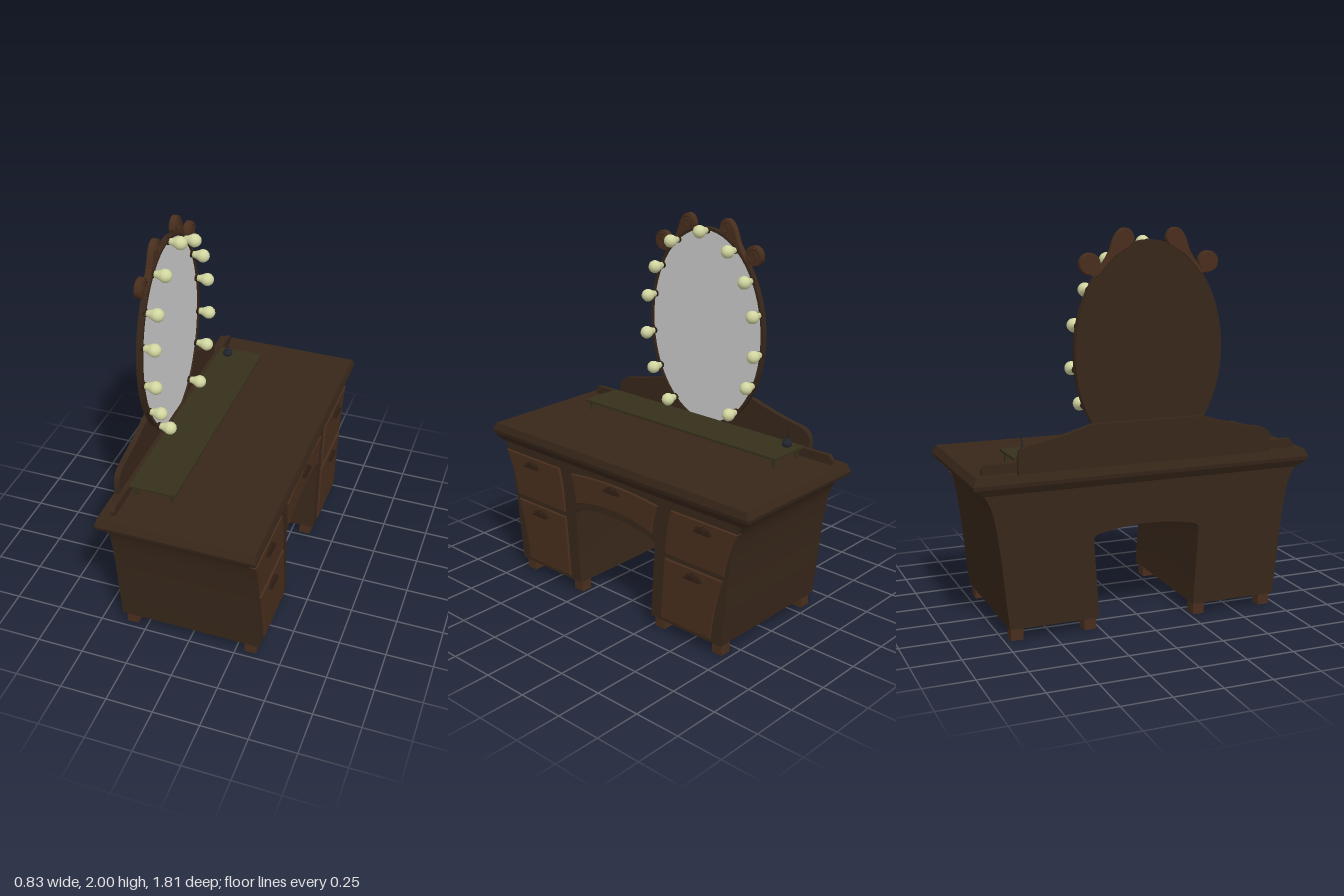
import * as THREE from 'three';
import { toCreasedNormals } from 'three/addons/utils/BufferGeometryUtils.js';
import { ConvexGeometry } from 'three/addons/geometries/ConvexGeometry.js';

const mat = (color, side = THREE.FrontSide) => new THREE.MeshStandardMaterial({ color, side });
const V2 = (p) => p.map(([x, y]) => new THREE.Vector2(x, y));

export function createModel() {
  const wood = mat(0x38271a), panel = mat(0x482e1d), dark = mat(0x2c1c12);
  const bulbMat = mat(0xd2d6a0), glass = mat(0xcccccc), shelfMat = mat(0x36301a), ink = mat(0x20242c);

  // Built facing +z, then turned so the drawers face +x
  const desk = new THREE.Group();
  desk.name = 'vanity';
  desk.rotation.y = Math.PI / 2;

  const add = (name, geo, m, x = 0, y = 0, z = 0, parent = desk) => {
    const mesh = new THREE.Mesh(geo, m);
    mesh.name = name;
    mesh.position.set(x, y, z);
    parent.add(mesh);
    return mesh;
  };
  const box = (name, m, x, y, z, w, h, d, parent) =>
    add(name, new THREE.BoxGeometry(w, h, d), m, x, y, z, parent);
  const plate = (name, shape, m, z0, z1, bevel = 0, parent = desk) => {
    const geo = new THREE.ExtrudeGeometry(shape, {
      depth: z1 - z0 - bevel, curveSegments: 32, bevelEnabled: bevel > 0,
      bevelThickness: bevel, bevelSize: bevel, bevelOffset: -bevel, bevelSegments: 1,
    });
    return add(name, toCreasedNormals(geo, 0.6), m, 0, 0, z0, parent);
  };

  // Flared carcass with an arched knee hole running through
  const body = new THREE.Shape();
  body.moveTo(0.727, 0.065);
  body.splineThru(V2([[0.747, 0.25], [0.77, 0.47], [0.803, 0.66], [0.845, 0.75]]));
  body.lineTo(-0.845, 0.75);
  body.splineThru(V2([[-0.803, 0.66], [-0.77, 0.47], [-0.747, 0.25], [-0.727, 0.065]]));
  body.lineTo(-0.26, 0.065);
  body.lineTo(-0.287, 0.47);
  body.quadraticCurveTo(-0.285, 0.495, -0.25, 0.503);
  body.quadraticCurveTo(0, 0.558, 0.25, 0.503);
  body.quadraticCurveTo(0.285, 0.495, 0.287, 0.47);
  body.lineTo(0.26, 0.065);
  plate('carcass', body, wood, -0.384, 0.38);

  // Moulded table top
  const corners = [];
  for (const [y, hx, hz] of [[0.748, 0.85, 0.39], [0.785, 0.9, 0.412], [0.805, 0.905, 0.416], [0.845, 0.885, 0.405]])
    for (const sx of [-1, 1]) for (const sz of [-1, 1]) corners.push(new THREE.Vector3(sx * hx, y, sz * hz));
  add('tableTop', new ConvexGeometry(corners), wood);

  // Scalloped drawer pull
  const pull = (x, y) => {
    const g = new THREE.Group();
    g.name = 'drawerPull';
    g.position.set(x, y, 0.39);
    for (const [dx, r] of [[-0.03, 0.021], [0, 0.03], [0.03, 0.021]])
      add('pullShell', new THREE.SphereGeometry(r, 16, 8, 0, Math.PI * 2, 0, Math.PI / 2), dark, dx, -0.008, 0, g)
        .scale.set(0.9, 1, 0.75);
    box('pullLip', dark, 0, -0.011, 0.009, 0.105, 0.006, 0.022, g);
    desk.add(g);
  };

  for (const s of [-1, 1]) {
    // Curved drawer fronts, two on each side
    const upper = new THREE.Shape();
    upper.moveTo(s * 0.825, 0.7);
    upper.quadraticCurveTo(s * 0.765, 0.6, s * 0.742, 0.455);
    upper.lineTo(s * 0.366, 0.455);
    upper.quadraticCurveTo(s * 0.37, 0.6, s * 0.403, 0.7);
    plate('upperDrawer', upper, panel, 0.36, 0.391, 0.004);
    const lower = new THREE.Shape();
    lower.moveTo(s * 0.737, 0.428);
    lower.quadraticCurveTo(s * 0.685, 0.28, s * 0.662, 0.085);
    lower.lineTo(s * 0.334, 0.085);
    lower.lineTo(s * 0.36, 0.428);
    plate('lowerDrawer', lower, panel, 0.36, 0.391, 0.004);
    pull(s * 0.615, 0.66);
    pull(s * 0.555, 0.39);

    // Square feet
    for (const x of [0.302, 0.685]) for (const z of [-0.332, 0.328])
      box('foot', panel, s * x, 0.0335, z, 0.063, 0.067, 0.063);
  }

  // Arched middle drawer
  const mid = new THREE.Shape();
  mid.moveTo(-0.312, 0.695);
  mid.quadraticCurveTo(0, 0.738, 0.312, 0.695);
  mid.quadraticCurveTo(0.28, 0.62, 0.272, 0.536);
  mid.quadraticCurveTo(0, 0.61, -0.272, 0.536);
  mid.quadraticCurveTo(-0.28, 0.62, -0.312, 0.695);
  plate('middleDrawer', mid, panel, 0.36, 0.391, 0.004);
  pull(0, 0.69);

  // Backboard and the low rail before it
  const back = new THREE.Shape();
  back.moveTo(-0.685, 0.84);
  back.lineTo(-0.685, 0.925);
  back.quadraticCurveTo(-0.675, 0.975, -0.6, 0.985);
  back.quadraticCurveTo(-0.45, 1.01, -0.3, 1.06);
  back.lineTo(0.3, 1.06);
  back.quadraticCurveTo(0.45, 1.01, 0.6, 0.985);
  back.quadraticCurveTo(0.665, 0.975, 0.675, 0.925);
  back.lineTo(0.675, 0.84);
  plate('backboard', back, wood, -0.4, -0.37);
  const rail = new THREE.Shape(V2([[-0.845, 0.84], [0.845, 0.84], [0.845, 0.87], [0.825, 0.893], [-0.825, 0.893], [-0.845, 0.87]]));
  plate('rail', rail, wood, -0.353, -0.328);

  // Raised shelf on four pegs
  box('shelf', shelfMat, 0, 0.901, -0.202, 1.35, 0.012, 0.244);
  for (const x of [-0.65, 0.65]) for (const z of [-0.295, -0.105])
    box('shelfPeg', shelfMat, x, 0.87, z, 0.016, 0.052, 0.016);

  // Small bottle with a thin stem
  const bottle = [[0, 0], [0.022, 0], [0.027, 0.01], [0.025, 0.023], [0.011, 0.031], [0.011, 0.042], [0, 0.042]];
  add('bottle', new THREE.LatheGeometry(V2(bottle), 16), ink, 0.61, 0.907, -0.265);
  add('bottleStem', new THREE.CylinderGeometry(0.003, 0.003, 0.075, 6), ink, 0.615, 0.975, -0.265).rotation.z = -0.15;

  // Oval mirror
  const mirror = new THREE.Group();
  mirror.name = 'mirror';
  mirror.position.x = -0.014;
  desk.add(mirror);
  const oval = (rx, ry) => new THREE.Shape().absellipse(0, 1.4, rx, ry, 0, Math.PI * 2);
  const ring = oval(0.392, 0.542);
  ring.holes.push(oval(0.377, 0.527));
  plate('mirrorBack', oval(0.39, 0.54), wood, -0.374, -0.358, 0, mirror);
  plate('mirrorFrame', ring, wood, -0.36, -0.341, 0, mirror);
  plate('mirrorGlass', oval(0.38, 0.53), glass, -0.358, -0.35, 0, mirror);

  // Scrolled crest: a tall lobe and a volute on each side
  for (const s of [-1, 1]) {
    const lobe = new THREE.Shape();
    lobe.moveTo(s * 0.31, 1.778);
    lobe.splineThru(V2([[0.26, 1.815], [0.215, 1.88], [0.188, 1.95], [0.16, 1.988], [0.13, 1.999],
      [0.1, 1.985], [0.084, 1.945], [0.1, 1.915]].map(([x, y]) => [s * x, y])));
    lobe.lineTo(s * 0.19, 1.86);
    lobe.lineTo(s * 0.27, 1.77);
    plate('crestLobe', lobe, panel, -0.375, -0.345, 0.004, mirror);
    const volute = new THREE.Shape().absarc(s * 0.312, 1.83, 0.053, 0, Math.PI * 2);
    plate('crestVolute', volute, panel, -0.375, -0.345, 0.004, mirror);
    for (const [cx, cy, r] of [[0.312, 1.83, 0.045], [0.13, 1.953, 0.036]]) {
      const spiral = [];
      for (let i = 0; i <= 24; i++) {
        const a = (i / 24) * Math.PI * 3.2, q = r * (1 - 0.8 * i / 24);
        spiral.push(new THREE.Vector3(s * (cx + q * Math.cos(a)), cy + q * Math.sin(a), -0.345));
      }
      add('crestSpiral', new THREE.TubeGeometry(new THREE.CatmullRomCurve3(spiral), 48, 0.005, 6), panel, 0, 0, 0, mirror);
    }
  }

  // Light bulbs around the mirror
  const bulbProfile = [[0, 0], [0.016, 0], [0.018, 0.015], [0.024, 0.03], [0.032, 0.045], [0.035, 0.058],
    [0.032, 0.073], [0.022, 0.086], [0.01, 0.092], [0, 0.093]];
  const bulbGeo = new THREE.LatheGeometry(V2(bulbProfile), 20);
  bulbGeo.rotateX(Math.PI / 2);
  const spots = [[-0.011, 1.925], [-0.212, 1.85], [0.18, 1.846], [-0.324, 1.695], [0.292, 1.703], [-0.377, 1.528], [0.35, 1.533],
    [-0.387, 1.316], [0.363, 1.324], [-0.337, 1.125], [0.321, 1.146], [-0.228, 0.96], [0.207, 0.973]];
  for (const [x, y] of spots) {
    add('bulb', bulbGeo, bulbMat, x, y, -0.342);
    add('bulbSocket', new THREE.CylinderGeometry(0.019, 0.019, 0.014, 12), dark, x, y, -0.345).rotation.x = Math.PI / 2;
  }

  const model = new THREE.Group();
  model.name = 'dressingTable';
  model.add(desk);
  return model;
}
